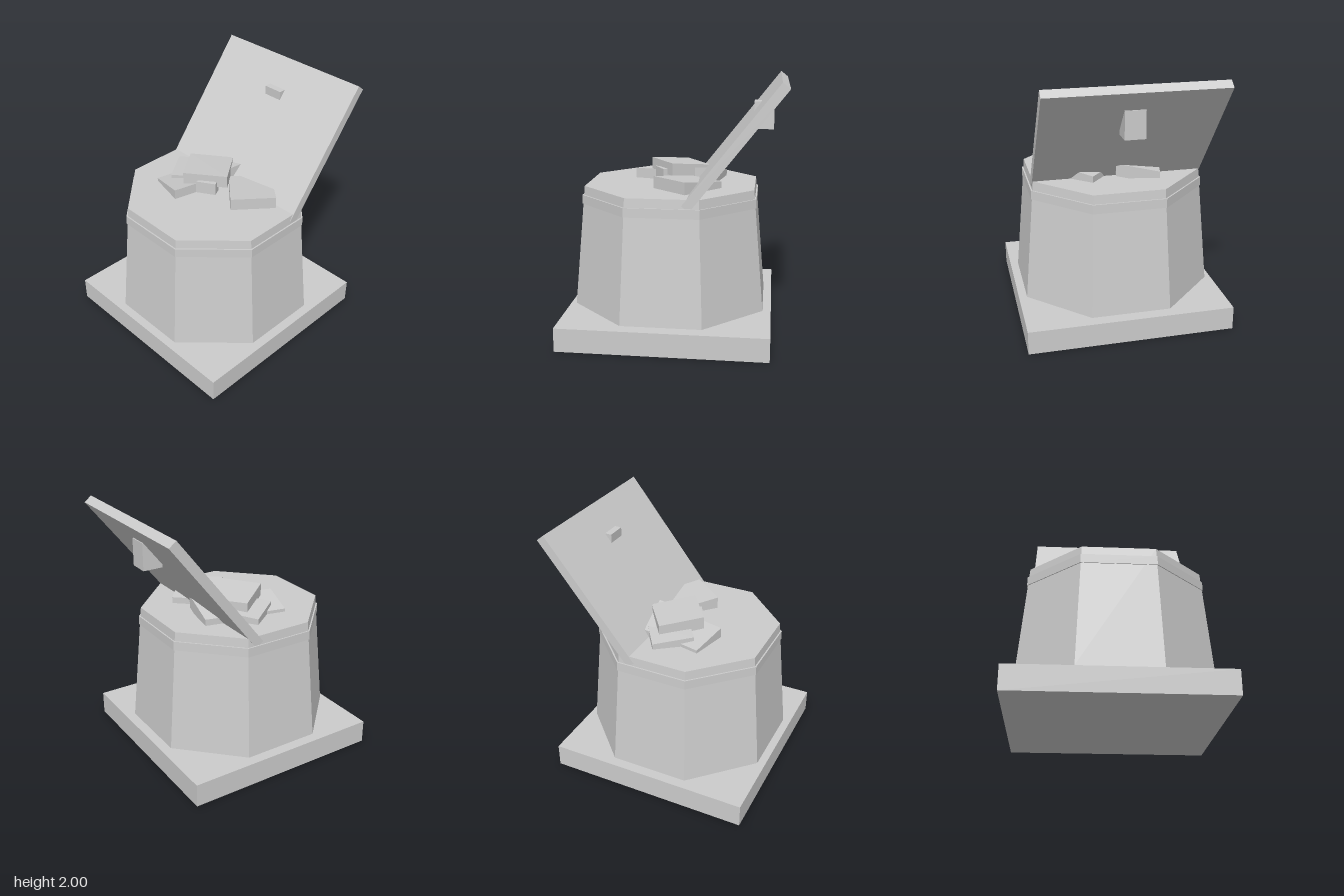
import * as THREE from 'three';
import { ConvexGeometry } from 'three/addons/geometries/ConvexGeometry.js';

export function createModel() {
  const model = new THREE.Group();
  model.name = 'openContainer';
  const material = new THREE.MeshStandardMaterial({ color: 0xcccccc, flatShading: true });

  function add(name, geometry, x = 0, y = 0, z = 0) {
    const mesh = new THREE.Mesh(geometry, material);
    mesh.name = name;
    mesh.position.set(x, y, z);
    model.add(mesh);
    return mesh;
  }

  // Octagonal frustum with flat sides facing the axes; sizes are half-widths across flats
  function octagon(name, top, bottom, y0, y1) {
    const k = 1 / Math.cos(Math.PI / 8);
    const geometry = new THREE.CylinderGeometry(top * k, bottom * k, y1 - y0, 8, 1, false, Math.PI / 8);
    return add(name, geometry, 0, (y0 + y1) / 2, 0.053);
  }

  // Tilted slab given by its four top corners and a thickness
  function slab(name, corners, thickness = 0.1) {
    const points = [];
    for (const [x, y, z] of corners) {
      points.push(new THREE.Vector3(x, y, z), new THREE.Vector3(x, y - thickness, z));
    }
    return add(name, new ConvexGeometry(points), 0, 0, 0);
  }

  // Square plinth, tapered body and rim band
  add('plinth', new THREE.BoxGeometry(1.605, 0.185, 1.605), 0, 0.0925, 0.048);
  octagon('body', 0.658, 0.742, 0.205, 1.16);
  octagon('rimBand', 0.675, 0.677, 1.02, 1.09);

  // Lid leaning back, with a handle block through it
  const lid = add('lid', new THREE.BoxGeometry(1.328, 1.13, 0.072), 0, 1.534, -0.469);
  lid.rotation.x = -0.667;
  add('lidHandle', new THREE.BoxGeometry(0.154, 0.21, 0.155), 0, 1.705, -0.663);

  // Heap of slabs on top
  slab('topSlab', [[-0.09, 1.285, -0.24], [-0.368, 1.29, -0.03], [-0.155, 1.325, 0.245], [0.124, 1.325, 0.04]]);
  slab('leftSlab', [[-0.5, 1.205, -0.02], [-0.31, 1.23, 0.235], [-0.11, 1.24, 0.09], [-0.3, 1.22, -0.16]]);
  slab('frontSlab', [[-0.404, 1.185, 0.3], [-0.115, 1.24, 0.37], [-0.065, 1.24, 0.17], [-0.36, 1.185, 0.1]]);
  slab('rightSlab', [[0.287, 1.255, 0.167], [0.51, 1.255, -0.1], [0.22, 1.21, -0.35], [0, 1.21, -0.1]]);
  slab('backSlab', [[-0.02, 1.27, -0.02], [0.03, 1.28, -0.3], [-0.3, 1.21, -0.36], [-0.36, 1.21, -0.1]]);
  slab('smallBlock', [[-0.06, 1.27, 0.1], [-0.06, 1.27, 0.2], [0.075, 1.27, 0.12], [0.04, 1.27, 0.05]]);

  return model;
}
